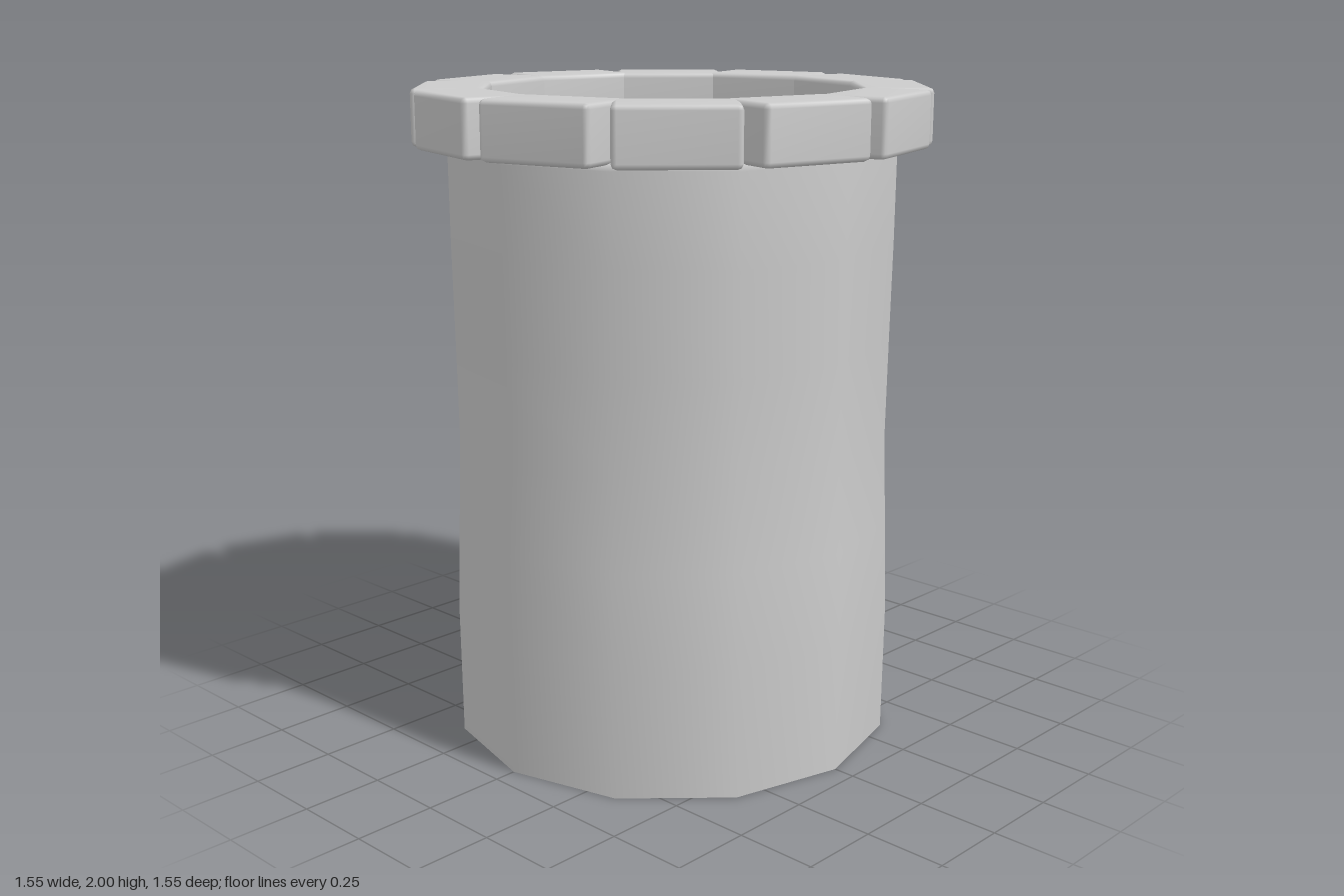
import * as THREE from 'three';
import { mergeVertices } from 'three/addons/utils/BufferGeometryUtils.js';
import { RoundedBoxGeometry } from 'three/addons/geometries/RoundedBoxGeometry.js';

const SIDES = 12;
const grey = new THREE.MeshStandardMaterial({ color: 0xcccccc });

// Twelve-sided turned surface from [radius, height] pairs
function turned(name, profile) {
  const points = profile.map(([r, y]) => new THREE.Vector2(r, y));
  const mesh = new THREE.Mesh(new THREE.LatheGeometry(points, SIDES), grey);
  mesh.name = name;
  return mesh;
}

// Small-chamfered block whose shading flows softly across its edges
function blockGeometry(width, height, depth) {
  let geometry = new RoundedBoxGeometry(width, height, depth, 1, 0.016);
  geometry.deleteAttribute('normal');
  geometry.deleteAttribute('uv');
  geometry = mergeVertices(geometry, 1e-4);
  geometry.computeVertexNormals();
  return geometry;
}

export function createModel() {
  const model = new THREE.Group();
  model.name = 'stoneWell';

  // Shaft wall: outside going up, over the rim, inside going down
  model.add(turned('shaftWall', [
    [0.683, 0], [0.687, 0.4], [0.678, 0.68], [0.668, 0.95], [0.672, 1.25],
    [0.677, 1.55], [0.679, 1.815], [0.668, 1.836],
    [0.525, 1.836], [0.512, 1.82], [0.51, 1.2], [0.51, 0],
  ]));

  // Flat underside of the wall
  model.add(turned('shaftBase', [[0.51, 0], [0.683, 0]]));

  // Ring of blocks on the rim
  const ring = new THREE.Group();
  ring.name = 'rimBlocks';
  const geometry = blockGeometry(0.346, 0.17, 0.212);
  for (let i = 0; i < SIDES; i++) {
    const angle = ((i + 0.5) / SIDES) * Math.PI * 2;
    const block = new THREE.Mesh(geometry, grey);
    block.name = 'rimBlock';
    // Neighbours differ a hair in height where their inner corners overlap
    const y = 1.915 - (i % 2) * 0.001;
    block.position.set(Math.sin(angle) * 0.655, y, Math.cos(angle) * 0.655);
    block.rotation.y = angle;
    ring.add(block);
  }
  model.add(ring);

  return model;
}
